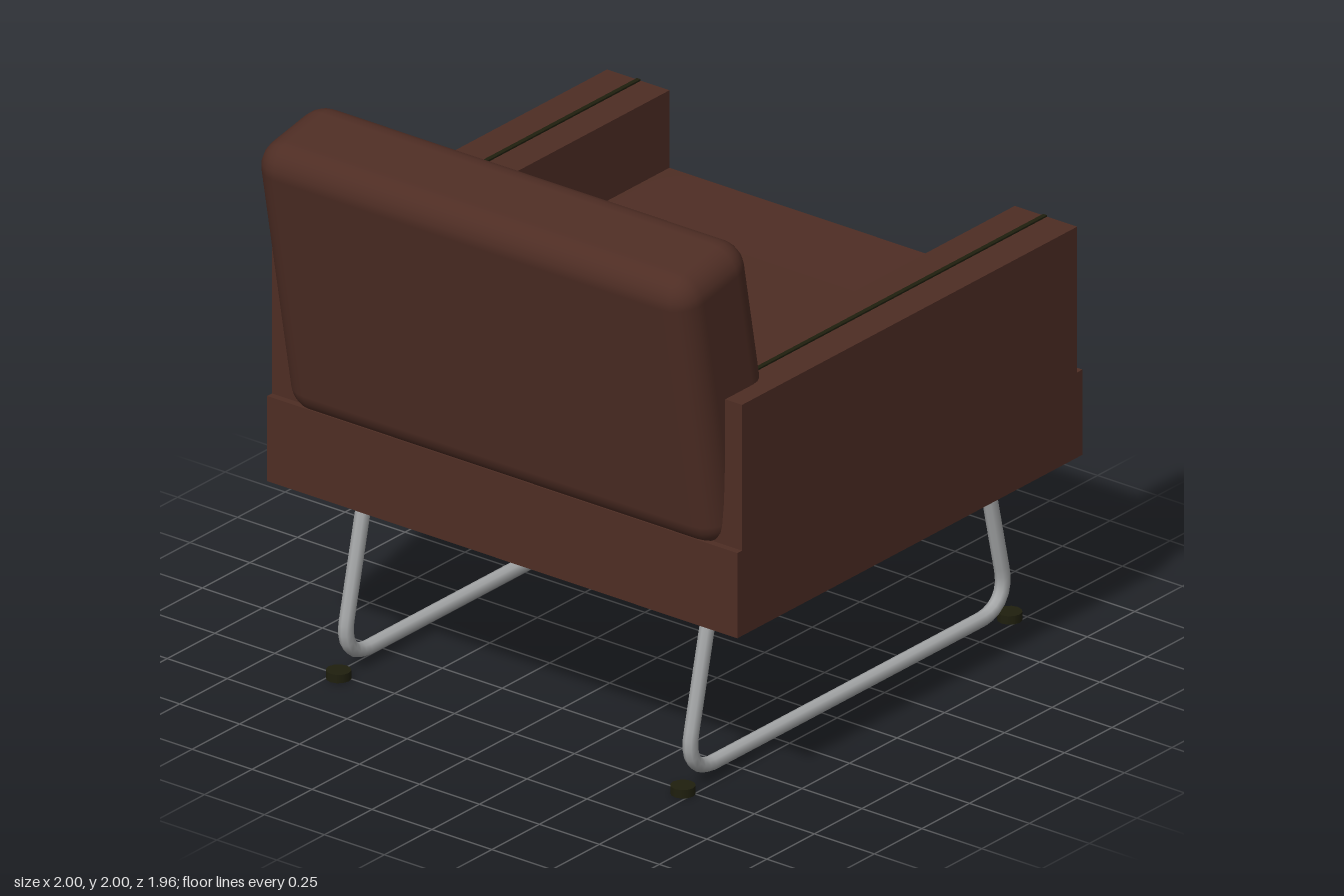
import * as THREE from 'three';
import { RoundedBoxGeometry } from 'three/addons/geometries/RoundedBoxGeometry.js';

const leather = new THREE.MeshStandardMaterial({ color: 0x4e2d24 });
leather.name = 'brownLeather';
const dark = new THREE.MeshStandardMaterial({ color: 0x1f1f0e });
dark.name = 'darkTrim';
const steel = new THREE.MeshStandardMaterial({ color: 0xa6a8a9 });
steel.name = 'steel';

function add(parent, name, geometry, material, x = 0, y = 0, z = 0) {
  const mesh = new THREE.Mesh(geometry, material);
  mesh.name = name;
  mesh.position.set(x, y, z);
  parent.add(mesh);
  return mesh;
}

// Box given by its lower and upper limits on each axis
function box(parent, name, material, [x0, x1], [y0, y1], [z0, z1]) {
  const g = new THREE.BoxGeometry(x1 - x0, y1 - y0, z1 - z0);
  return add(parent, name, g, material, (x0 + x1) / 2, (y0 + y1) / 2, (z0 + z1) / 2);
}

// Side loop of the frame: two splayed legs joined by a floor runner
function sideLoopPath() {
  const v = (x, y) => new THREE.Vector3(x, y, 0);
  const path = new THREE.CurvePath();
  path.add(new THREE.LineCurve3(v(-0.618, 0.66), v(-0.728, 0.19)));
  path.add(new THREE.CubicBezierCurve3(v(-0.728, 0.19), v(-0.745, 0.11), v(-0.70, 0.055), v(-0.61, 0.055)));
  path.add(new THREE.LineCurve3(v(-0.61, 0.055), v(0.79, 0.055)));
  path.add(new THREE.CubicBezierCurve3(v(0.79, 0.055), v(0.88, 0.055), v(0.925, 0.11), v(0.908, 0.19)));
  path.add(new THREE.LineCurve3(v(0.908, 0.19), v(0.80, 0.66)));
  return path;
}

// Seat cushion outline with rounded front corners
function cushionShape(back, front, half, r) {
  const s = new THREE.Shape();
  s.moveTo(back, -half);
  s.lineTo(front - r, -half);
  s.quadraticCurveTo(front, -half, front, -half + r);
  s.lineTo(front, half - r);
  s.quadraticCurveTo(front, half, front - r, half);
  s.lineTo(back, half);
  return s;
}

export function createModel() {
  const chair = new THREE.Group();
  chair.name = 'armchair';

  // Upholstered body
  box(chair, 'base', leather, [-0.815, 1], [0.65, 0.957], [-0.98, 0.98]);
  box(chair, 'seatBlock', leather, [-0.79, 0.972], [0.95, 1.203], [-0.72, 0.72]);

  // Cushion top rising slightly towards the front
  const cushionGeo = new THREE.ExtrudeGeometry(cushionShape(-0.2, 0.35, 0.695, 0.16),
    { depth: 0.05, bevelEnabled: false, curveSegments: 6 });
  cushionGeo.rotateX(-Math.PI / 2);
  cushionGeo.translate(0, -0.05, 0);
  add(chair, 'seatCushion', cushionGeo, leather, 0.6, 1.203, 0).rotation.z = 0.03;

  // Backrest with seams, leaning back
  const backrest = new THREE.Group();
  backrest.name = 'backrest';
  backrest.position.set(-0.734, 1.466, 0);
  backrest.rotation.z = 0.185;
  chair.add(backrest);
  add(backrest, 'backCushion', new RoundedBoxGeometry(0.378, 1.05, 1.82, 3, 0.1), leather);
  for (const z of [-0.457, -0.153, 0.153, 0.457]) {
    box(backrest, 'backSeam', dark, [0.186, 0.193], [-0.42, 0.435], [z - 0.009, z + 0.009]);
  }

  // Armrests, frame sides and feet, mirrored left and right
  const loop = new THREE.TubeGeometry(sideLoopPath(), 90, 0.026, 8);
  const foot = new THREE.CylinderGeometry(0.042, 0.042, 0.03, 12);
  for (const side of [-1, 1]) {
    box(chair, 'armrest', leather, [-0.79, 0.972], [0.95, 1.482], side < 0 ? [-0.98, -0.72] : [0.72, 0.98]);
    const z = 0.847 * side;
    box(chair, 'armSeam', dark, [-0.75, 0.971], [1.48, 1.488], [z - 0.008, z + 0.008]);
    add(chair, 'frameLoop', loop, steel, 0, 0, 0.718 * side);
    for (const x of [-0.77, 0.948]) add(chair, 'foot', foot, dark, x, 0.015, 0.718 * side);
  }

  // Cross bars under the base
  const bar = new THREE.CylinderGeometry(0.025, 0.025, 1.44, 8).rotateX(Math.PI / 2);
  for (const x of [-0.618, 0.80]) add(chair, 'crossBar', bar, steel, x, 0.652, 0);

  return chair;
}
